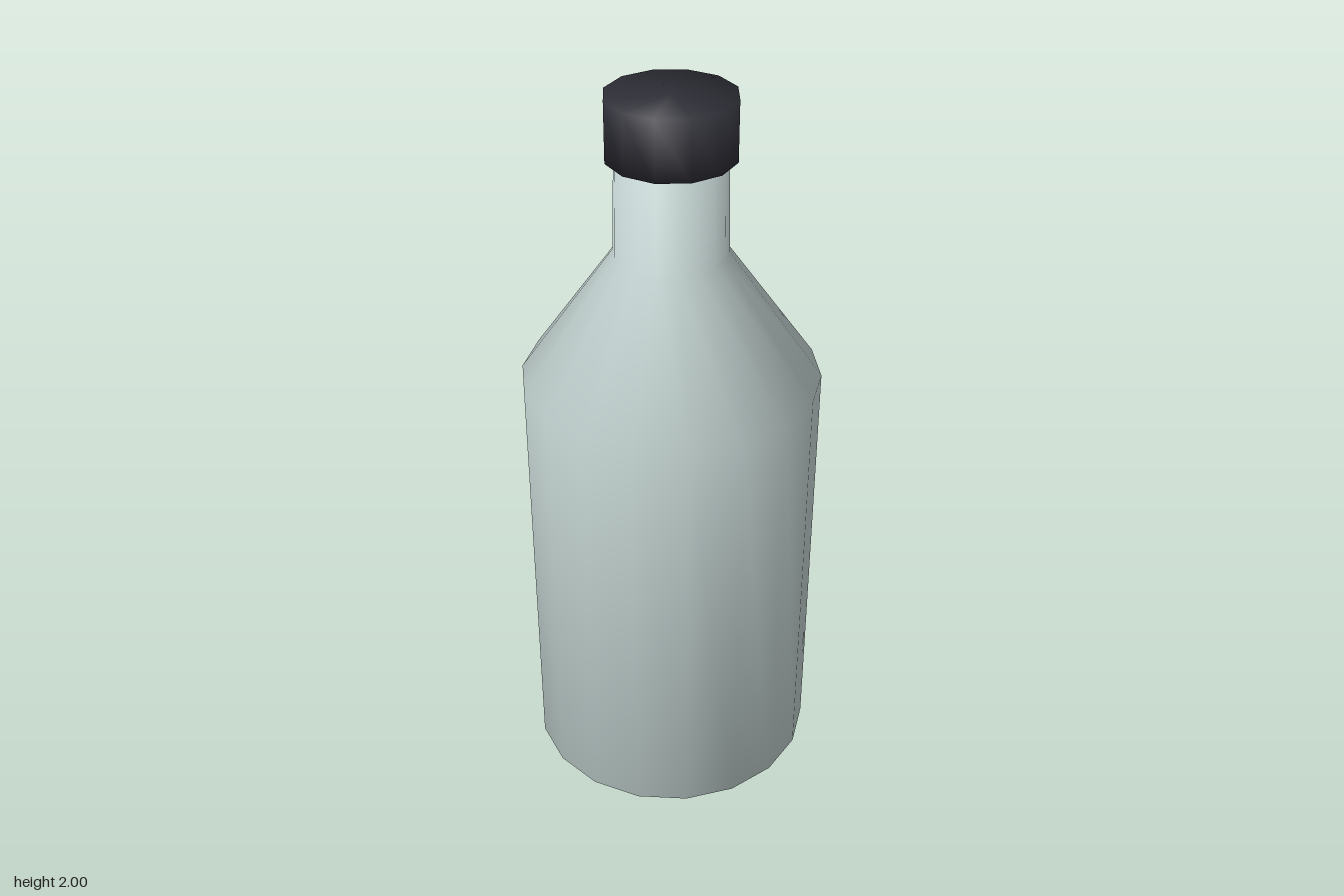
import * as THREE from 'three';

// Closed, smooth-shaded turned part with its first corner on the +x axis.
function turned(name, profile, sides, material) {
  const points = profile.map(([r, y]) => new THREE.Vector2(r, y));
  const geometry = new THREE.LatheGeometry(points, sides, Math.PI / 2, Math.PI * 2);
  const mesh = new THREE.Mesh(geometry, material);
  mesh.name = name;
  return mesh;
}

export function createModel() {
  const glass = new THREE.MeshStandardMaterial({ color: 0xc2d2d0 });
  glass.name = 'pale glass';
  const dark = new THREE.MeshStandardMaterial({ color: 0x2e2e37 });
  dark.name = 'dark cap';

  const model = new THREE.Group();
  model.name = 'bottle';

  // Base, straight wall, sloping shoulder and slightly tapered neck
  model.add(turned('bottleBody', [
    [0, 0], [0.405, 0], [0.405, 1.218], [0.152, 1.578], [0.145, 1.85], [0, 1.85],
  ], 18, glass));

  // Screw cap
  model.add(turned('cap', [
    [0, 1.838], [0.171, 1.838], [0.171, 2], [0, 2],
  ], 12, dark));

  return model;
}
